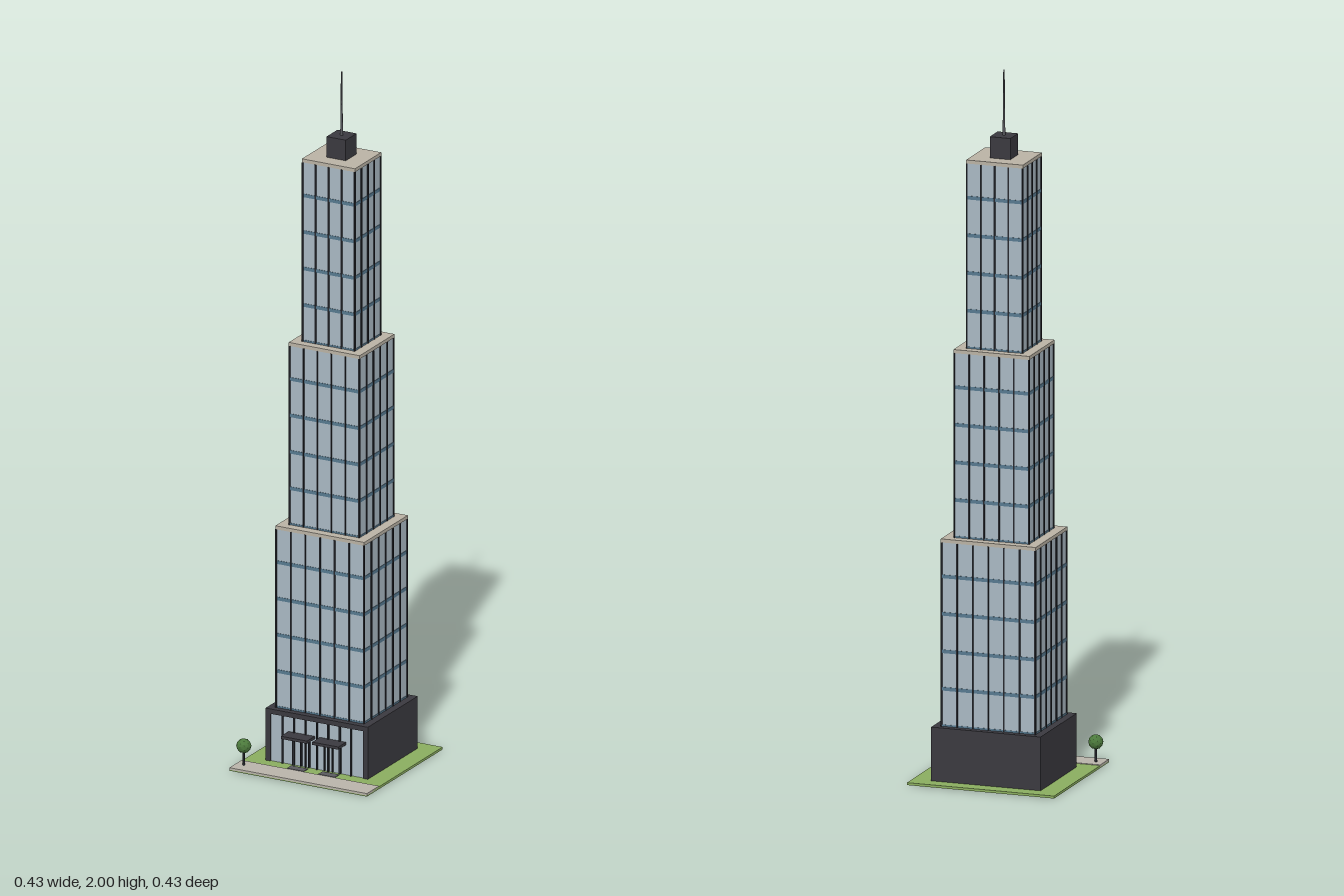
import * as THREE from 'three';

const mat = (name, color) => {
  const m = new THREE.MeshStandardMaterial({ color });
  m.name = name;
  return m;
};

export function createModel() {
  const M = {
    glass: mat('paleGlass', 0xa9b8c2),
    band: mat('blueSpandrel', 0x56798f),
    frame: mat('darkMullion', 0x26282e),
    dark: mat('charcoalCladding', 0x3a393f),
    stone: mat('beigeStone', 0xb9b2a4),
    paving: mat('paving', 0xb8b3a9),
    grass: mat('grass', 0x8aad5f),
    leaf: mat('foliage', 0x4c7a3c),
    mat: mat('greyMat', 0x5a5a5e),
    metal: mat('antennaMetal', 0x55565b),
  };
  const root = new THREE.Group();
  root.name = 'skyscraper';
  const group = (name) => {
    const g = new THREE.Group();
    g.name = name;
    root.add(g);
    return g;
  };
  // Box given by its min and max on each axis
  const box = (parent, name, material, x0, x1, y0, y1, z0, z1) => {
    const mesh = new THREE.Mesh(new THREE.BoxGeometry(x1 - x0, y1 - y0, z1 - z0), material);
    mesh.position.set((x0 + x1) / 2, (y0 + y1) / 2, (z0 + z1) / 2);
    mesh.name = name;
    parent.add(mesh);
    return mesh;
  };

  // Site
  const site = group('site');
  box(site, 'lawn', M.grass, -0.215, 0.215, 0.001, 0.008, -0.216, 0.215);
  box(site, 'pavement', M.paving, -0.215, 0.215, 0.004, 0.01, 0.146, 0.2155);

  // Street tree
  const tree = group('tree');
  tree.position.set(-0.191, 0, 0.177);
  const trunk = new THREE.Mesh(new THREE.CylinderGeometry(0.003, 0.004, 0.045, 6), M.frame);
  trunk.position.y = 0.031;
  trunk.name = 'trunk';
  const leafGeometry = new THREE.IcosahedronGeometry(0.021, 1);
  const crown = new THREE.Mesh(leafGeometry, M.leaf);
  crown.position.y = 0.066;
  crown.name = 'crown';
  tree.add(trunk, crown);

  // Podium: solid block with a framed glass lobby front
  const podium = group('podium');
  box(podium, 'podiumBlock', M.dark, -0.16, 0.16, 0.008, 0.16, -0.174, 0.102);
  box(podium, 'lobbyGlass', M.glass, -0.145, 0.145, 0.008, 0.146, 0.101, 0.106);
  box(podium, 'lobbyLintel', M.dark, -0.16, 0.16, 0.146, 0.16, 0.102, 0.11);
  for (const s of [-1, 1]) {
    const jamb = box(podium, 'lobbyJamb', M.dark, -0.0075, 0.0075, 0.008, 0.146, 0.102, 0.11);
    jamb.position.x = s * 0.1525;
  }
  for (let i = -3; i <= 3; i++) {
    const x = i * 0.0357;
    box(podium, 'lobbyMullion', M.frame, x - 0.002, x + 0.002, 0.008, 0.146, 0.105, 0.111);
  }

  // Paired entrances with canopies and mats
  for (const s of [-1, 1]) {
    const entrance = group('entrance');
    entrance.position.x = s * 0.049;
    box(entrance, 'canopy', M.dark, -0.041, 0.041, 0.095, 0.103, 0.106, 0.15);
    box(entrance, 'doorHead', M.frame, -0.027, 0.027, 0.083, 0.087, 0.106, 0.112);
    for (const x of [-0.025, 0, 0.025])
      box(entrance, 'doorStile', M.frame, x - 0.002, x + 0.002, 0.01, 0.085, 0.106, 0.112);
    box(entrance, 'doorMat', M.mat, -0.026, 0.026, 0, 0.01, 0.118, 0.143);
  }

  // Three stepped tower tiers: half width, half depth, bays, bottom, top
  const CZ = -0.032;
  const FLOORS = 5;
  const tiers = [
    [0.137, 0.122, 6, 0.16, 0.69],
    [0.109, 0.097, 5, 0.69, 1.222],
    [0.081, 0.073, 4, 1.222, 1.755],
  ];
  tiers.forEach(([w, d, bays, y0, y1], t) => {
    const tier = group('tier' + (t + 1));
    tier.position.z = CZ;
    const b = 0.0012, cap = 0.01, half = 0.002, out = 0.003;
    box(tier, 'glassBody', M.glass, -w, w, y0, y1 - cap, -d, d);
    box(tier, 'roofSlab', M.stone, -w - 0.002, w + 0.002, y1 - cap, y1, -d - 0.002, d + 0.002);
    const storey = (y1 - y0) / FLOORS;
    for (let f = 0; f < FLOORS; f++) {
      const y = y0 + f * storey;
      const low = f === 0 ? y : y - 0.005;
      box(tier, 'floorBand', M.band, -w - b, w + b, low, y + 0.005, -d - b, d + b);
    }
    for (let i = 0; i <= bays; i++) {
      const x = -w + (2 * w * i) / bays;
      const z = -d + (2 * d * i) / bays;
      for (const s of [-1, 1]) {
        const fz = box(tier, 'mullion', M.frame, x - half, x + half, y0, y1 - cap, -out, out);
        fz.position.z = s * d;
        if (i > 0 && i < bays) {
          const fx = box(tier, 'mullion', M.frame, -out, out, y0, y1 - cap, z - half, z + half);
          fx.position.x = s * w;
        }
      }
    }
  });

  // Rooftop plant room and antenna
  const rooftop = group('rooftop');
  rooftop.position.z = CZ;
  box(rooftop, 'plantRoom', M.dark, -0.03, 0.03, 1.755, 1.815, -0.031, 0.031);
  const antenna = new THREE.Mesh(new THREE.CylinderGeometry(0.002, 0.004, 0.185, 8), M.metal);
  antenna.position.y = 1.9075;
  antenna.name = 'antenna';
  rooftop.add(antenna);

  M.leaf.flatShading = true;
  return root;
}
